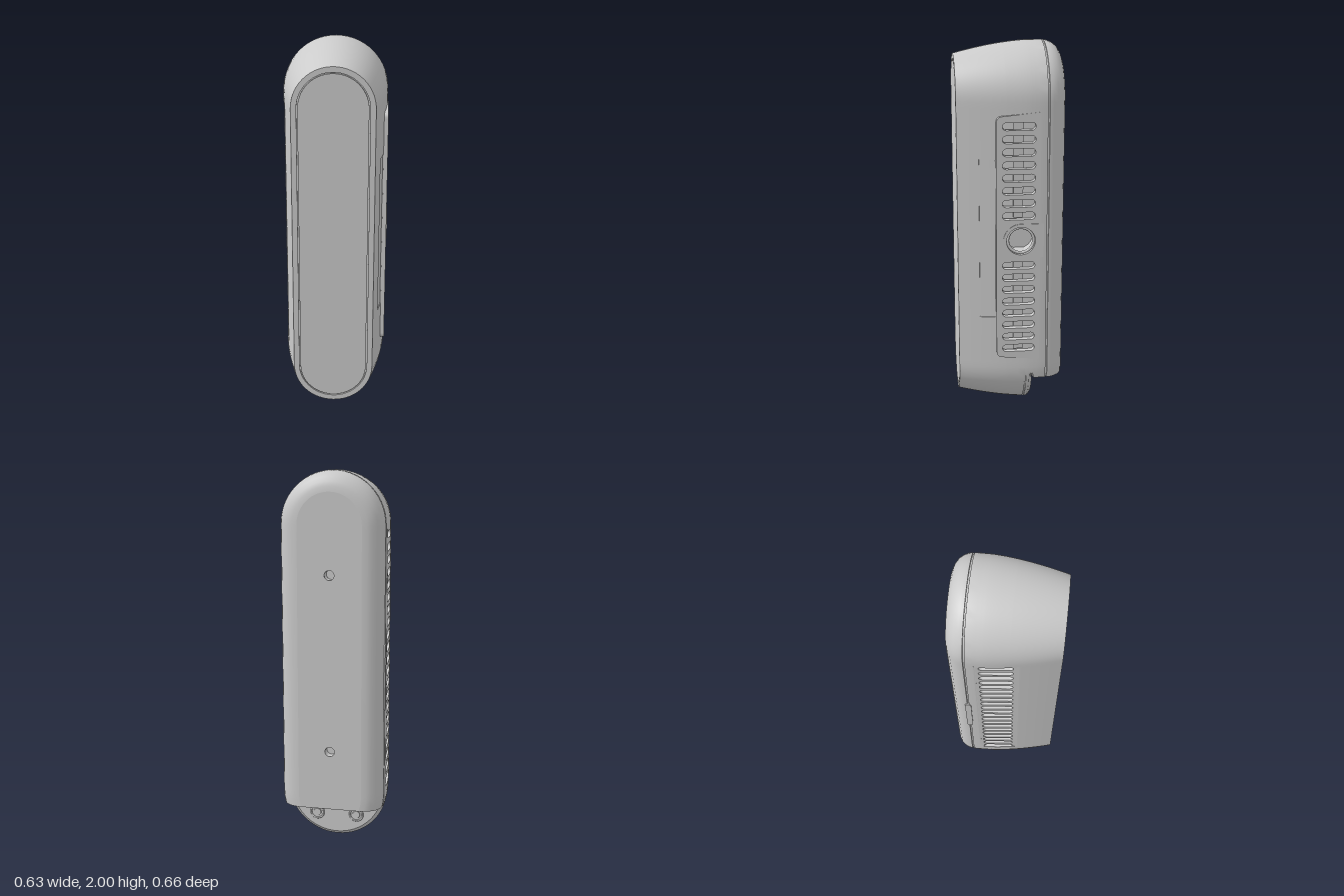
import * as THREE from 'three';
import { mergeVertices, toCreasedNormals } from 'three/addons/utils/BufferGeometryUtils.js';

const PI = Math.PI;
const L = 0.723;        // half length of the straight sides
const LEDGE = 0.21;     // height of the cut under the back cover
const RECESS = -0.11;   // depth of the recessed foot face

const material = new THREE.MeshStandardMaterial({ color: 0xcccccc });

function add(parent, name, geometry, x = 0, y = 0, z = 0) {
  const mesh = new THREE.Mesh(geometry, material);
  mesh.name = name;
  mesh.position.set(x, y, z);
  parent.add(mesh);
  return mesh;
}

// Rounded slot outline lying along x
function slot(path, x, y, half, r) {
  path.absarc(x + half, y, r, -PI / 2, PI / 2, false);
  path.absarc(x - half, y, r, PI / 2, PI * 1.5, false);
  path.closePath();
  return path;
}
const circle = (path, x, y, r) => path.absarc(x, y, r, 0, 2 * PI, false);

// Inward-facing cavity opening at z = 0 and going to -z
function cup(shape, depth) {
  const g = new THREE.ExtrudeGeometry(shape, { depth, bevelEnabled: false, curveSegments: 16 });
  g.scale(1, 1, -1);
  g.computeVertexNormals();
  return g;
}

// Half width of the front shell, narrowing to the front
const halfWidth = (w) => 0.277 - 0.0645 * Math.pow(Math.max(0, (w + 0.11) / 0.39), 1.6);

// Rows from back to front: [depth, half width]
const rows = [
  [-0.28, 0.17], [-0.277, 0.197], [-0.268, 0.222], [-0.253, 0.245], [-0.232, 0.262], [-0.21, 0.272],
  [-0.189, 0.276], [-0.188, 0.268], [-0.181, 0.268], [-0.18, 0.277],
  ...[-0.131, -0.13, -0.12, -0.119, RECESS, -0.1, -0.09, -0.076, -0.075, -0.069, -0.068, -0.03,
    0.03, 0.031, 0.07, 0.071, 0.085, 0.086, 0.12, 0.168, 0.169, 0.2, 0.225, 0.25, 0.28].map((w) => [w, halfWidth(w)]),
  [0.28, 0.184], [0.27, 0.184], [0.27, 0.178], [0.28, 0.178],
];

// Side pockets: behind the vents, the deep socket and the shallow strip
function pocket(side, y, w) {
  const d = Math.abs(y - 1) - 0.0004;
  const within = (a, b) => w > a - 0.0004 && w < b + 0.0004;
  if (side > 0 && d < 0.07 && within(-0.119, 0.03)) return 0.15;
  if (d < (side > 0 ? 0.64 : 0.69) && within(-0.13, 0.07)) return 0.035;
  if (side > 0 && d < 0.43 && within(0.086, 0.168)) return 0.004;
  return 0;
}

// Outline of one row, counter-clockwise seen from the front
function outline(w, h) {
  const pts = [];
  const d = [0.723, 0.691, 0.69, 0.641, 0.64, 0.431, 0.43, 0.071, 0.07];
  const ys = [...d.map((v) => 1 - v), ...d.slice().reverse().map((v) => 1 + v)];
  for (const y of ys) pts.push({ x: h - pocket(1, y, w), y });
  for (let i = 1; i < 28; i++) {
    const a = (PI * i) / 28;
    pts.push({ x: h * Math.cos(a), y: 1 + L + h * Math.sin(a) });
  }
  for (const y of ys.slice().reverse()) pts.push({ x: -h + pocket(-1, y, w), y });
  const a0 = Math.asin((1 - L - LEDGE) / h);
  // rounded heel and parting groove on the foot
  let r = h;
  if (w === RECESS) r -= 0.02;
  if (w === -0.1) r -= 0.006;
  if (w === -0.075 || w === -0.069) r -= 0.005;
  pts.push({ x: -h * Math.cos(a0 / 2), y: 1 - L - h * Math.sin(a0 / 2) });
  for (let i = 0; i <= 26; i++) {
    const a = PI + a0 + ((PI - 2 * a0) * i) / 26;
    const q = w >= RECESS ? r : h;
    pts.push({ x: q * Math.cos(a), y: 1 - L + q * Math.sin(a), low: true });
  }
  pts.push({ x: h * Math.cos(a0 / 2), y: 1 - L - h * Math.sin(a0 / 2) });
  return pts;
}

function shellGeometry() {
  const pos = [], index = [];
  const rings = rows.map(([w, h]) => outline(w, h));
  const n = rings[0].length;
  rings.forEach((ring, i) => ring.forEach((p) => pos.push(p.x, p.y, rows[i][0])));
  for (let i = 0; i < rows.length - 1; i++) {
    for (let j = 0; j < n; j++) {
      const k = (j + 1) % n;
      // leave the foot recess open
      if (rows[i + 1][0] <= RECESS && rings[i][j].low && rings[i][k].low) continue;
      const a = i * n + j, b = i * n + k, c = b + n, d = a + n;
      index.push(a, b, c, a, c, d);
    }
  }
  const g = new THREE.BufferGeometry();
  g.setAttribute('position', new THREE.Float32BufferAttribute(pos, 3));
  g.setIndex(index);
  return toCreasedNormals(mergeVertices(g, 1e-5), 0.55);
}

const shapeOf = (pts) => new THREE.Shape(pts.map((p) => new THREE.Vector2(p.x, p.y)));

// Vent plate; y is measured from mid height
function ventPlate(shape, slotYs, socketX) {
  for (const y of slotYs) shape.holes.push(slot(new THREE.Path(), 0, y, 0.065, 0.02));
  if (socketX !== undefined) shape.holes.push(circle(new THREE.Path(), socketX, 0, 0.078));
  return new THREE.ExtrudeGeometry(shape, { depth: 0.03, bevelEnabled: false, curveSegments: 8 });
}

export function createModel() {
  const model = new THREE.Group();
  model.name = 'wallUnit';
  const body = new THREE.Group();
  body.name = 'body';
  body.rotation.y = (20 * PI) / 180;
  body.position.set(0.014, 0, -0.005);
  model.add(body);

  add(body, 'shell', shellGeometry());

  // Front panel
  const last = rows[rows.length - 1];
  add(body, 'frontPanel', new THREE.ShapeGeometry(shapeOf(outline(...last))), 0, 0, last[0]);

  // Back plate with two mounting holes
  const back = shapeOf(outline(...rows[0]).filter((p, i, all) => !p.low || !all[i - 1].low || !all[i + 1].low));
  for (const y of [0.53, 1.47]) {
    back.holes.push(circle(new THREE.Path(), 0, y, 0.026));
    const hole = add(body, 'mountingHole', cup(circle(new THREE.Shape(), 0, 0, 0.026), 0.05), 0, y, -0.28);
    hole.rotation.y = PI;
  }
  add(body, 'backPlate', new THREE.ShapeGeometry(back).rotateY(PI), 0, 0, -0.28);

  // Recessed foot face with two screws
  const foot = shapeOf(outline(RECESS, halfWidth(RECESS)).filter((p) => p.low));
  add(body, 'footFace', new THREE.ShapeGeometry(foot).rotateY(PI), 0, 0, RECESS);
  for (const x of [-0.11, 0.11]) {
    add(body, 'screwRing', new THREE.TorusGeometry(0.036, 0.005, 8, 28), x, 0.125, RECESS);
    add(body, 'screwHead', new THREE.CylinderGeometry(0.02, 0.024, 0.012, 20).rotateX(-PI / 2), x, 0.125, RECESS);
  }

  // Underside of the back cover with port and two small holes
  const edge = rows.filter(([w]) => w <= RECESS).map(([w, h]) => ({ x: Math.sqrt(h * h - (1 - L - LEDGE) ** 2), y: w }));
  const ledge = shapeOf([...edge, ...edge.slice().reverse().map((p) => ({ x: -p.x, y: p.y }))]);
  const openings = [[0, 0.045, 0.028, 0.09], [-0.13, 0.001, 0.011, 0.03], [0.13, 0.001, 0.011, 0.03]];
  for (const [x, half, r, depth] of openings) {
    ledge.holes.push(slot(new THREE.Path(), x, -0.195, half, r));
    const port = add(body, 'portOpening', cup(slot(new THREE.Shape(), 0, 0, half, r), depth), x, LEDGE, -0.195);
    port.rotation.x = PI / 2;
  }
  add(body, 'ledge', new THREE.ShapeGeometry(ledge).rotateX(PI / 2), 0, LEDGE, 0);

  // Raised vent panel with socket on the +x side
  const raised = new THREE.Shape();
  raised.moveTo(0.112, -0.675);
  raised.lineTo(0.112, 0.675);
  raised.lineTo(-0.09, 0.655);
  raised.quadraticCurveTo(-0.117, 0.65, -0.117, 0.62);
  raised.lineTo(-0.117, -0.62);
  raised.quadraticCurveTo(-0.117, -0.65, -0.09, -0.655);
  const pairYs = [];
  for (let i = 0; i < 8; i++) pairYs.push(0.135 + i * 0.067, -0.135 - i * 0.067);
  const leftPlate = add(body, 'leftVentPanel', ventPlate(raised, pairYs, 0.011), 0.248, 1, -0.033);
  leftPlate.rotation.y = PI / 2;

  const collar = new THREE.Shape();
  collar.moveTo(0.13, -0.092);
  collar.lineTo(0.13, 0.092);
  collar.lineTo(0.011, 0.092);
  collar.absarc(0.011, 0, 0.092, PI / 2, PI * 1.5, false);
  collar.holes.push(circle(new THREE.Path(), 0.011, 0, 0.075));
  const collarGeometry = new THREE.ExtrudeGeometry(collar, { depth: 0.012, bevelEnabled: false, curveSegments: 24 });
  add(body, 'socketCollar', collarGeometry, 0.27, 1, -0.033).rotation.y = PI / 2;
  add(body, 'socket', cup(circle(new THREE.Shape(), 0, 0, 0.0755), 0.11), 0.28, 1, -0.044).rotation.y = PI / 2;
  add(body, 'socketLip', new THREE.TorusGeometry(0.068, 0.008, 8, 36), 0.262, 1, -0.044).rotation.y = PI / 2;

  // Flush vent panel on the -x side
  const flush = new THREE.Shape();
  flush.moveTo(-0.107, -0.7);
  flush.lineTo(0.113, -0.7);
  flush.lineTo(0.113, 0.7);
  flush.lineTo(-0.107, 0.7);
  const allYs = Array.from({ length: 21 }, (_, i) => (i - 10) * 0.067);
  const tilt = Math.atan2(halfWidth(-0.14) - halfWidth(0.08), 0.22);
  const mid = (halfWidth(-0.14) + halfWidth(0.08)) / 2 + 0.001;
  const rightPlate = add(body, 'rightVentPanel', ventPlate(flush, allYs), -mid + 0.03 * Math.cos(tilt), 1, -0.033 - 0.03 * Math.sin(tilt));
  rightPlate.rotation.y = -(PI / 2 - tilt);

  // Ribs behind the vents
  for (const y of [0.63, 1.37]) add(body, 'ventRib', new THREE.BoxGeometry(0.02, 0.5, 0.05), 0.24, y, -0.033);
  add(body, 'ventRib', new THREE.BoxGeometry(0.02, 1.37, 0.05), -0.236, 1, -0.033);

  // Release tab by the seam
  const tab = slot(new THREE.Shape(), 0, 0, 0.165, 0.016);
  const tabGeometry = new THREE.ExtrudeGeometry(tab, { depth: 0.012, bevelEnabled: false }).rotateZ(PI / 2);
  add(body, 'releaseTab', tabGeometry, -0.269, 0.93, -0.185).rotation.y = -PI / 2;

  return model;
}
